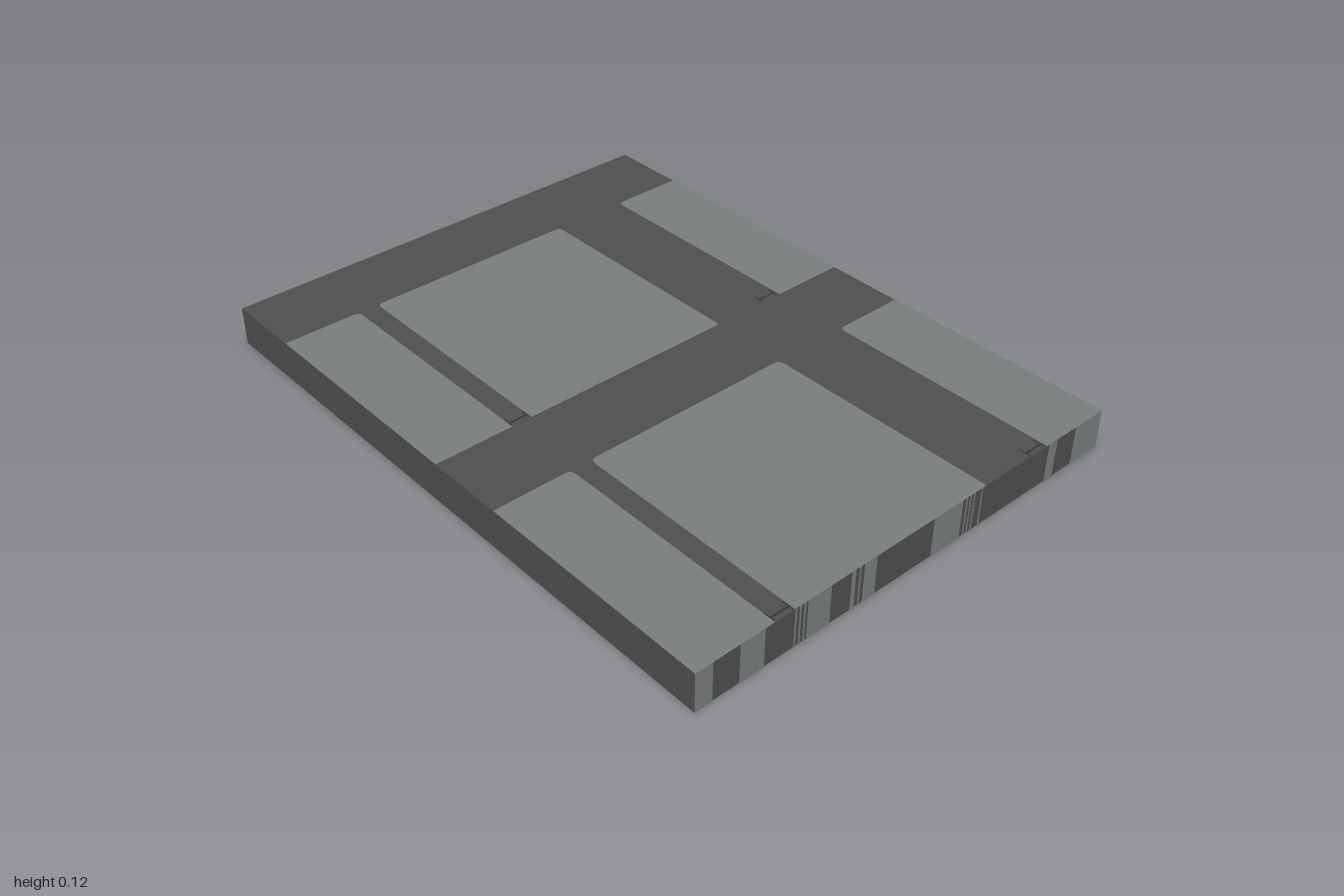
import * as THREE from 'three';

const W = 2, H = 0.125, D = 1.5, SKIN = 0.001;

const mortar = new THREE.MeshStandardMaterial({ color: 0x4e4e4e });
mortar.name = 'dark mortar';
const stone = new THREE.MeshStandardMaterial({ color: 0x787c7c });
stone.name = 'grey stone';
const crack = new THREE.MeshStandardMaterial({ color: 0x363636 });
crack.name = 'crack shadow';

// Flat rectangle with corner radii in the order (x0,y0) (x1,y0) (x1,y1) (x0,y1)
function panel(x0, y0, x1, y1, [a, b, c, d]) {
  const s = new THREE.Shape();
  s.moveTo(x0 + a, y0);
  s.lineTo(x1 - b, y0);
  s.quadraticCurveTo(x1, y0, x1, y0 + b);
  s.lineTo(x1, y1 - c);
  s.quadraticCurveTo(x1, y1, x1 - c, y1);
  s.lineTo(x0 + d, y1);
  s.quadraticCurveTo(x0, y1, x0, y1 - d);
  s.lineTo(x0, y0 + a);
  s.quadraticCurveTo(x0, y0, x0 + a, y0);
  return new THREE.ShapeGeometry(s, 4);
}

export function createModel() {
  const group = new THREE.Group();
  const add = (name, geometry, material) => {
    const mesh = new THREE.Mesh(geometry, material);
    mesh.name = name;
    group.add(mesh);
    return mesh;
  };

  // Solid slab, its top, bottom and right end set back by the painted skin
  add('slab', new THREE.BoxGeometry(W - SKIN, H - 2 * SKIN, D), mortar)
    .position.set(-SKIN / 2, H / 2, 0);
  // Thin dark skins that frame the slab to its full size
  add('slabCore', new THREE.BoxGeometry(W - 2 * SKIN, H - SKIN, D - SKIN), mortar)
    .position.set(-SKIN / 2, H / 2, 0);

  // Stone blocks on top: two columns of three, rounded on their inner corners
  const r = 0.02;
  const rows = [
    [-0.75, -0.51, [r, 0, 0, 0]],
    [-0.26, 0.435, [r, 0, 0, r]],
    [0.5, 0.75, [0, 0, 0, r]],
  ];
  for (const [x0, x1] of [[-0.75, 0], [0.25, 1]]) {
    for (const [z0, z1, radii] of rows) {
      const g = panel(x0, -z1, x1, -z0, radii).rotateX(-Math.PI / 2);
      add('topStone', g, stone).position.y = H;
    }
    // Small cracks where the joints end
    for (const z of [-0.473, 0.468]) {
      for (const dz of [-0.03, 0.03]) {
        add('crackEnd', new THREE.BoxGeometry(0.035, 0.002, 0.005), crack)
          .position.set(x1 - 0.022, H - SKIN, z + dz);
      }
      add('crackLine', new THREE.BoxGeometry(0.006, 0.002, 0.06), crack)
        .position.set(x1 - 0.018, H - SKIN, z);
    }
  }

  // Large stone underneath, reaching the left and back edges
  add('bottomStone', panel(-1, -0.75, 0.49, 0.38, [0, 0, 0.04, 0]).rotateX(Math.PI / 2), stone);

  // Stone bands on the right end, given as z ranges
  const bands = [
    [0.695, 0.75], [0.53, 0.61], [0.31, 0.39], [0.15, 0.195], [0.225, 0.24],
    [-0.17, -0.06], [-0.555, -0.52], [-0.75, -0.635],
  ];
  // Narrow streaks beside the bands
  for (const z of [0.4, 0.415, 0.43, 0.21, -0.185, -0.2, -0.215, -0.245]) bands.push([z - 0.003, z + 0.003]);
  for (const [z0, z1] of bands) {
    const g = new THREE.PlaneGeometry(z1 - z0, H).rotateY(Math.PI / 2);
    add('endBand', g, stone).position.set(W / 2, H / 2, (z0 + z1) / 2);
  }
  return group;
}
